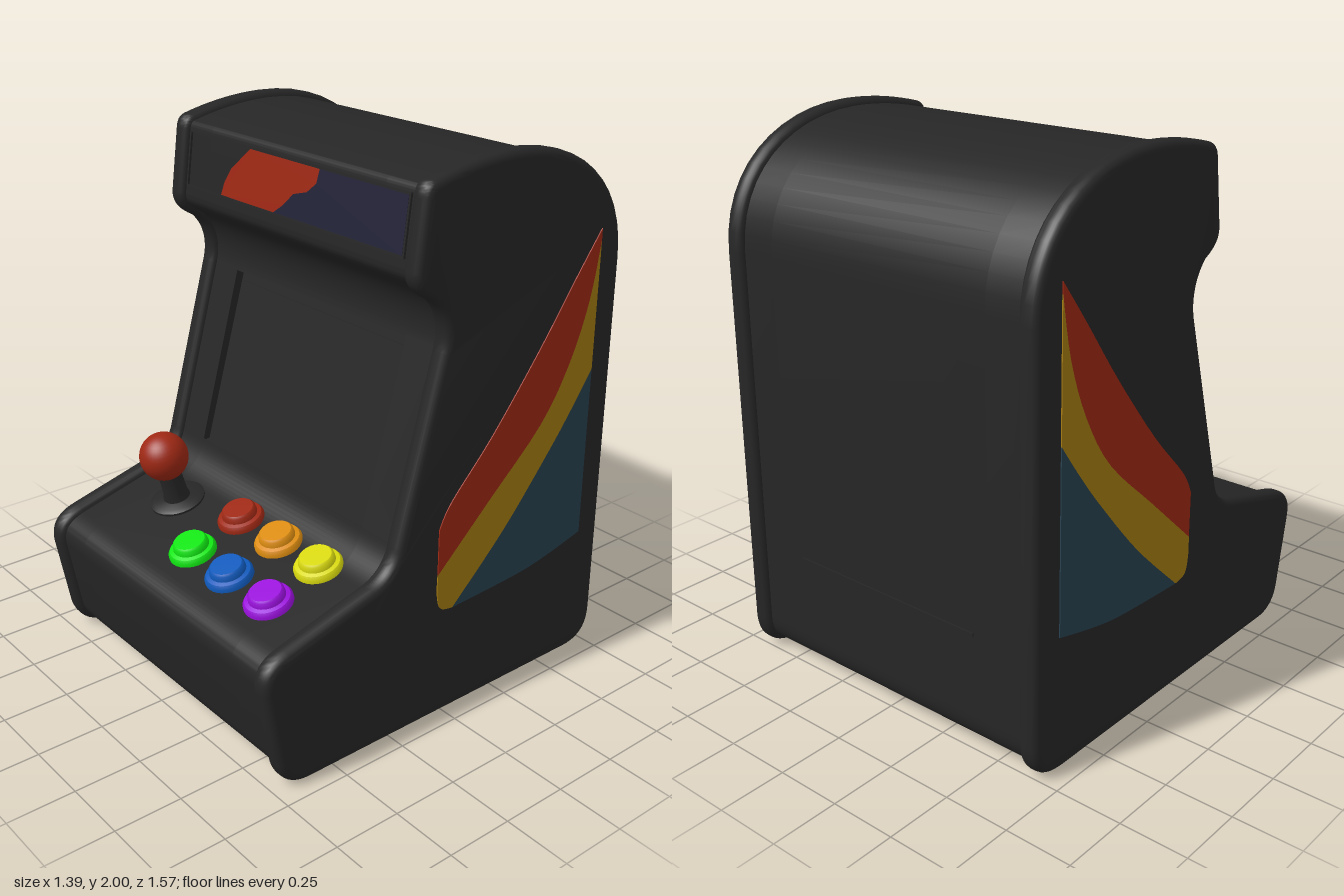
import * as THREE from 'three';
import { toCreasedNormals } from 'three/addons/utils/BufferGeometryUtils.js';

const paint = (name, hex) => {
  const m = new THREE.MeshStandardMaterial({ color: hex });
  m.name = name;
  return m;
};

// Cabinet outline as (z, y); optionally notched along the screen slope.
function cabinetProfile(notched) {
  const s = new THREE.Shape();
  s.moveTo(-0.64, 0);
  s.lineTo(0.6, 0);
  s.quadraticCurveTo(0.71, 0, 0.735, 0.1);
  s.lineTo(0.787, 0.39);
  s.quadraticCurveTo(0.8, 0.49, 0.69, 0.52);
  s.lineTo(0.34, 0.615);
  s.quadraticCurveTo(0.25, 0.64, 0.23, 0.73);
  if (notched) {
    const a = [0.228, 0.738], b = [0.053, 1.37], d = [-0.029, -0.008];
    s.lineTo(a[0], a[1]);
    s.lineTo(a[0] + d[0], a[1] + d[1] + 0.01);
    s.lineTo(b[0] + d[0], b[1] + d[1] - 0.01);
    s.lineTo(b[0], b[1]);
  }
  s.lineTo(0.05, 1.38);
  s.bezierCurveTo(0.03, 1.45, 0.05, 1.52, 0.1, 1.565);
  s.bezierCurveTo(0.15, 1.59, 0.185, 1.62, 0.18, 1.67);
  s.lineTo(0.15, 1.9);
  s.quadraticCurveTo(0.146, 1.947, 0.11, 1.955);
  s.quadraticCurveTo(-0.06, 2, -0.23, 2);
  s.bezierCurveTo(-0.55, 2, -0.785, 1.83, -0.785, 1.55);
  s.lineTo(-0.785, 0.14);
  s.quadraticCurveTo(-0.785, 0, -0.64, 0);
  return s;
}

// Extrudes a (z, y) shape between two x positions.
function extrudeX(shape, x0, x1, bevel = null) {
  const t = bevel ? bevel.bevelThickness : 0;
  const g = new THREE.ExtrudeGeometry(shape, {
    depth: x1 - x0 - 2 * t, curveSegments: 12, bevelEnabled: !!bevel, ...bevel,
  });
  g.rotateY(-Math.PI / 2);
  g.translate(x1 - t, 0, 0);
  return toCreasedNormals(g, 0.6);
}

const curvePoints = (pts) =>
  new THREE.SplineCurve(pts.map((p) => new THREE.Vector2(...p))).getPoints(20);

export function createModel() {
  const root = new THREE.Group();
  root.name = 'arcadeCabinet';

  const black = paint('cabinetBlack', 0x262626);
  const red = paint('red', 0x9e2814);
  const amber = paint('amber', 0xa67c12);
  const teal = paint('teal', 0x284250);
  const navy = paint('navy', 0x232338);
  const orange = paint('orange', 0xdc8c10);
  const yellow = paint('yellow', 0xd8d80e);
  const green = paint('green', 0x10e612);
  const blue = paint('blue', 0x105abc);
  const purple = paint('purple', 0x9a10dc);

  const add = (name, geometry, material, parent = root, x = 0, y = 0, z = 0) => {
    const m = new THREE.Mesh(geometry, material);
    m.name = name;
    m.position.set(x, y, z);
    parent.add(m);
    return m;
  };

  // Body: two plain strips beside a centre strip with the screen recess
  const inset = { bevelThickness: 0.001, bevelSize: 0, bevelOffset: -0.022, bevelSegments: 1 };
  add('bodyCentre', extrudeX(cabinetProfile(true), -0.475, 0.475, inset), black);
  add('bodyLeft', extrudeX(cabinetProfile(false), 0.475, 0.63, inset), black);
  add('bodyRight', extrudeX(cabinetProfile(false), -0.63, -0.475, inset), black);
  const screen = add('screen', new THREE.BoxGeometry(0.91, 0.61, 0.008), black, root, 0, 1.04, 0.092);
  screen.rotation.x = -0.27;

  // Rounded side panels
  const rounded = { bevelThickness: 0.03, bevelSize: 0.03, bevelOffset: -0.03, bevelSegments: 5 };
  add('leftPanel', extrudeX(cabinetProfile(false), 0.61, 0.69, rounded), black);
  add('rightPanel', extrudeX(cabinetProfile(false), -0.69, -0.61, rounded), black);

  // Sweeping stripes on both side panels
  const top = curvePoints([[0.053, 0.75], [0, 0.84], [-0.18, 1.03], [-0.39, 1.29], [-0.55, 1.51], [-0.67, 1.67]]);
  const mid = curvePoints([[0.053, 0.578], [-0.18, 0.79], [-0.42, 1.01], [-0.55, 1.21], [-0.63, 1.42], [-0.67, 1.63]]);
  const low = curvePoints([[-0.02, 0.424], [-0.26, 0.65], [-0.47, 0.89], [-0.58, 1.03], [-0.67, 1.155]]);
  const base = curvePoints([[-0.67, 0.504], [-0.5, 0.464], [-0.34, 0.44], [-0.02, 0.424]]);
  const corner = curvePoints([[-0.02, 0.424], [0.035, 0.44], [0.053, 0.5], [0.053, 0.578]]);
  const stripes = [
    ['redStripe', [...top, ...mid.slice().reverse()], red],
    ['amberStripe', [...mid, ...low.slice().reverse(), ...corner.slice(1, -1)], amber],
    ['tealStripe', [...low, ...base.slice(0, -1)], teal],
  ];
  for (const [name, pts, mat] of stripes) {
    const shape = new THREE.Shape(pts);
    add(name + 'Left', extrudeX(shape, 0.688, 0.694), mat);
    add(name + 'Right', extrudeX(shape, -0.694, -0.688), mat);
  }

  // Marquee: two-colour plate inside a slim frame
  const marquee = new THREE.Group();
  marquee.name = 'marquee';
  marquee.position.set(0, 1.8, 0.142);
  marquee.rotation.x = -0.13;
  root.add(marquee);
  const wave = [[-0.07, -0.095], [-0.02, -0.06], [0.03, -0.012], [0.1, 0.008], [0.145, 0.045], [0.155, 0.095]];
  const plate = (name, pts, mat) => add(name, new THREE.ExtrudeGeometry(
    new THREE.Shape(pts.map((p) => new THREE.Vector2(...p))), { depth: 0.006, bevelEnabled: false }), mat, marquee);
  plate('marqueeRed', [[-0.38, -0.095], ...wave, [-0.23, 0.095], [-0.33, 0.01], [-0.365, -0.045]], red);
  plate('marqueeNavy', [...wave.slice().reverse(), [0.59, -0.095], [0.59, 0.095]], navy);
  for (const s of [-1, 1]) {
    add('marqueeRail', new THREE.BoxGeometry(1.2, 0.008, 0.008), black, marquee, 0, s * 0.1, 0.003);
    add('marqueePost', new THREE.BoxGeometry(0.008, 0.2, 0.008), black, marquee, s * 0.596, 0, 0.003);
  }

  // Sloped control deck
  const deck = new THREE.Group();
  deck.name = 'controlDeck';
  deck.position.set(0, 0.598, 0.32);
  deck.rotation.x = 0.265;
  root.add(deck);

  // Joystick
  const lathe = (pts) => toCreasedNormals(
    new THREE.LatheGeometry(pts.map((p) => new THREE.Vector2(...p)), 32), 0.7);
  add('joystickBase', lathe([[0.105, -0.01], [0.105, 0.008], [0.09, 0.016], [0, 0.018]]), black, deck, -0.355, 0, 0.1);
  add('joystickShaft', lathe([[0.055, 0], [0.046, 0.04], [0.042, 0.17]]), black, deck, -0.355, 0, 0.1);
  add('joystickBall', new THREE.SphereGeometry(0.092, 32, 20), red, deck, -0.355, 0.203, 0.1);

  // Two rows of push buttons
  const button = lathe([[0.088, -0.012], [0.088, 0.012], [0.08, 0.024], [0.066, 0.028],
    [0.063, 0.048], [0.056, 0.055], [0, 0.056]]);
  [[red, orange, yellow], [green, blue, purple]].forEach((row, r) => row.forEach((mat, c) =>
    add(mat.name + 'Button', button, mat, deck, -0.04 + c * 0.225, 0, 0.028 + r * 0.223)));

  // Back slot and feet
  add('backSlot', new THREE.BoxGeometry(0.82, 0.012, 0.008), black, root, 0, 0.45, -0.764);
  for (const x of [-0.54, 0.54]) for (const z of [-0.6, 0.55])
    add('foot', new THREE.CylinderGeometry(0.06, 0.055, 0.03, 24), black, root, x, 0.015, z);

  return root;
}
